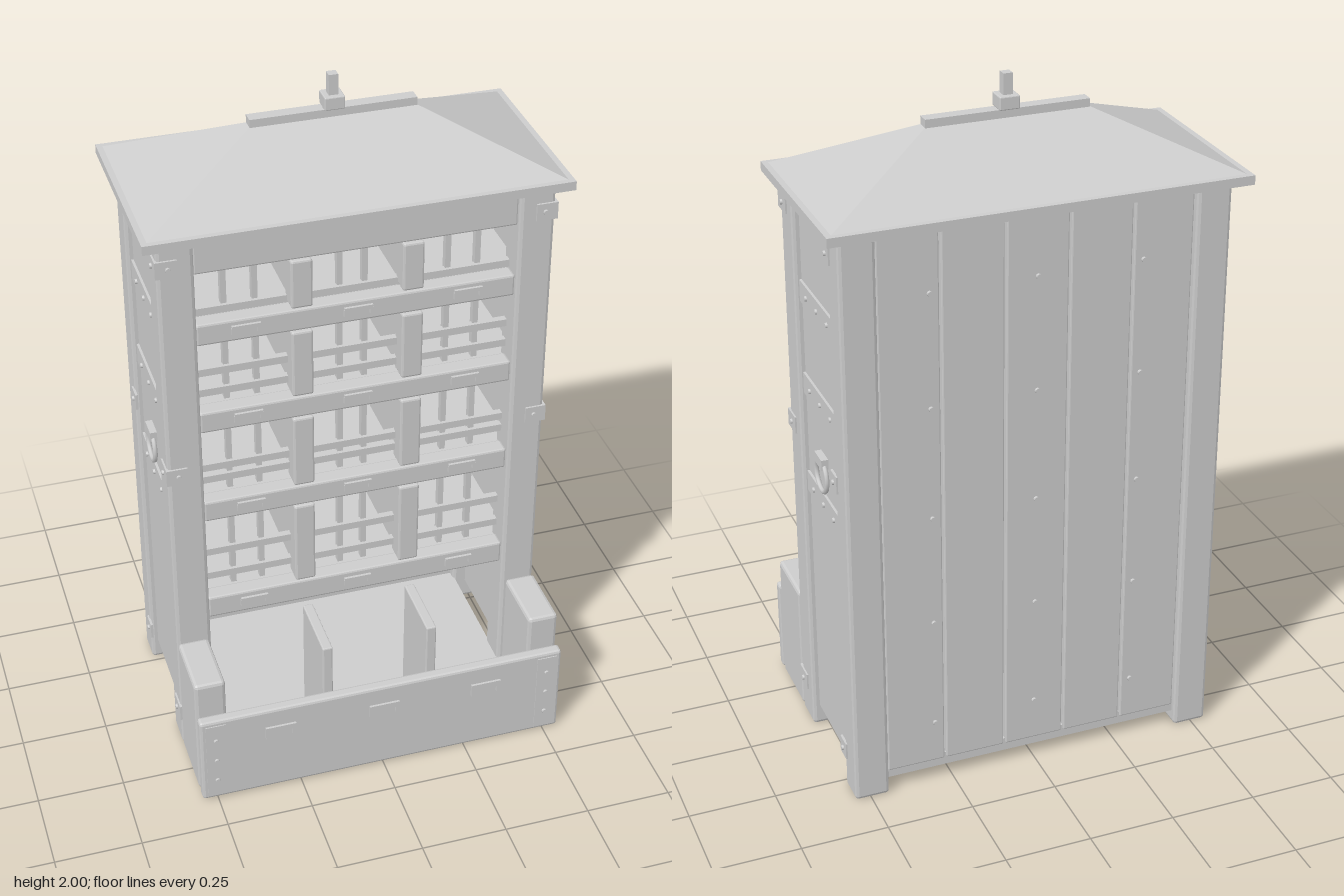
import * as THREE from 'three';
import { RoundedBoxGeometry } from 'three/addons/geometries/RoundedBoxGeometry.js';
import { ConvexGeometry } from 'three/addons/geometries/ConvexGeometry.js';

export function createModel() {
  const model = new THREE.Group();
  model.name = 'storageRack';
  const grey = new THREE.MeshStandardMaterial({ color: 0xcccccc });
  grey.name = 'plain grey';

  const add = (name, geometry, x = 0, y = 0, z = 0) => {
    const mesh = new THREE.Mesh(geometry, grey);
    mesh.name = name;
    mesh.position.set(x, y, z);
    model.add(mesh);
    return mesh;
  };
  // Box given by its extents; a bevel above zero chamfers its edges
  const box = (name, x0, x1, y0, y1, z0, z1, bevel = 0) => {
    const size = [x1 - x0, y1 - y0, z1 - z0];
    let geometry;
    if (bevel) {
      geometry = new RoundedBoxGeometry(...size, 1, bevel);
      geometry.computeVertexNormals();
    } else geometry = new THREE.BoxGeometry(...size);
    return add(name, geometry, (x0 + x1) / 2, (y0 + y1) / 2, (z0 + z1) / 2);
  };
  // Mirrored pair of boxes, given for the +x side
  const pair = (name, x0, x1, ...rest) => {
    box(name + 'Left', x0, x1, ...rest);
    box(name + 'Right', -x1, -x0, ...rest);
  };
  // Bolt head facing along x or z
  const bolt = (x, y, z, axis) => {
    const mesh = add('bolt', new THREE.CylinderGeometry(0.007, 0.008, 0.008, 8), x, y, z);
    if (axis === 'x') mesh.rotation.z = x > 0 ? -Math.PI / 2 : Math.PI / 2;
    else mesh.rotation.x = z > -0.2 ? Math.PI / 2 : -Math.PI / 2;
  };

  // Corner posts and recessed side panels
  pair('frontPost', 0.445, 0.545, 0.005, 1.705, 0.04, 0.14, 0.01);
  pair('backPost', 0.445, 0.545, 0.005, 1.705, -0.355, -0.265, 0.01);
  pair('sidePanel', 0.485, 0.525, 0.07, 1.705, -0.265, 0.04);
  box('ceiling', -0.5, 0.5, 1.69, 1.712, -0.33, 0.1);

  // Back planks with rows of nails
  const edges = [-0.445, -0.27, -0.09, 0.09, 0.27, 0.445];
  for (let i = 0; i < 5; i++) {
    box('backPlank', edges[i] + 0.003, edges[i + 1] - 0.003, 0.07, 1.705, -0.34, -0.305, 0.004);
  }
  box('backLining', -0.445, 0.445, 0.07, 1.70, -0.315, -0.295);
  for (const x of [-0.3, 0, 0.3]) {
    for (let i = 0; i < 5; i++) bolt(x, 0.2 + i * 0.33, -0.343, 'z');
  }

  // Corner brackets on the posts
  for (const y of [1.64, 0.985, 0.13]) {
    pair('sideBracket', 0.543, 0.55, y - 0.025, y + 0.025, 0.08, 0.143);
    pair('rearBracket', 0.543, 0.55, y - 0.025, y + 0.025, -0.29, -0.24);
    pair('frontBracket', 0.49, 0.55, y - 0.025, y + 0.025, 0.138, 0.146);
    for (const s of [-1, 1]) {
      bolt(s * 0.552, y, 0.11, 'x');
      bolt(s * 0.552, y, -0.265, 'x');
      bolt(s * 0.515, y, 0.148, 'z');
    }
  }

  // Side straps and ring handles
  for (const y of [1.41, 1.135, 0.83]) {
    pair('sideStrap', 0.523, 0.532, y - 0.031, y + 0.031, -0.265, 0.04);
    for (const s of [-1, 1]) {
      for (const z of [-0.2, -0.11, -0.02]) bolt(s * 0.534, y, z, 'x');
    }
  }
  pair('ringMount', 0.523, 0.545, 0.955, 0.985, -0.143, -0.08);
  for (const s of [-1, 1]) {
    const ring = add('ringHandle', new THREE.TorusGeometry(0.047, 0.007, 8, 24), s * 0.536, 0.925, -0.1125);
    ring.rotation.y = Math.PI / 2;
  }

  // Lintel, shelves and their front lips
  box('lintel', -0.445, 0.445, 1.6, 1.705, 0.075, 0.125, 0.005);
  const lips = [[0.455, 0.525], [0.8, 0.865], [1.1, 1.165], [1.38, 1.445]];
  for (const [y0, y1] of lips) {
    box('shelfLip', -0.445, 0.445, y0, y1, 0.075, 0.125, 0.006);
    box('shelf', -0.485, 0.485, y0 + 0.02, y1 - 0.015, -0.3, 0.08);
    for (const x of [-0.31, 0, 0.31]) {
      const y = (y0 + y1) / 2;
      box('shelfPull', x - 0.04, x + 0.04, y + 0.005, y + 0.017, 0.124, 0.133);
      for (const s of [-1, 1]) box('pullEnd', x + s * 0.036 - 0.005, x + s * 0.036 + 0.005, y - 0.01, y + 0.01, 0.124, 0.132);
    }
  }

  // Stiles, dividers and thin lattice in each tier
  const tiers = [
    [0.525, 0.8, [0.57, 0.655]], [0.865, 1.1, [0.91, 0.95]],
    [1.165, 1.38, [1.2, 1.265]], [1.445, 1.6, [1.457]],
  ];
  for (const [y0, y1, rails] of tiers) {
    pair('stile', 0.125, 0.185, y0 + 0.004, y1 - 0.006, 0.06, 0.125, 0.006);
    pair('tierDivider', 0.145, 0.165, y0 - 0.02, y1 + 0.03, -0.3, 0.07);
    for (const y of rails) box('latticeRail', -0.445, 0.445, y - 0.011, y + 0.011, 0.06, 0.08);
    for (const x of [0.035, 0.27, 0.355]) pair('latticeBar', x - 0.008, x + 0.008, y0, y1, 0.05, 0.07);
  }

  // Floor and front bin
  box('floor', -0.45, 0.45, 0.045, 0.085, -0.335, 0.345);
  pair('binArm', 0.455, 0.545, 0.01, 0.4, 0.145, 0.345, 0.01);
  pair('binDivider', 0.14, 0.17, 0.08, 0.447, 0.14, 0.345, 0.004);
  box('binFront', -0.545, 0.545, 0.01, 0.3, 0.357, 0.391, 0.008);
  pair('binStrap', 0.47, 0.53, 0.025, 0.285, 0.388, 0.394);
  for (const s of [-1, 1]) for (const y of [0.08, 0.155, 0.23]) bolt(s * 0.5, y, 0.396, 'z');
  for (const x of [-0.31, 0, 0.31]) {
    box('binPull', x - 0.045, x + 0.045, 0.222, 0.24, 0.389, 0.398);
    for (const s of [-1, 1]) box('binPullEnd', x + s * 0.039 - 0.006, x + s * 0.039 + 0.006, 0.2, 0.225, 0.389, 0.397);
  }

  // Hipped roof over a thin eave slab
  const zc = -0.1125;
  box('eave', -0.585, 0.585, 1.71, 1.736, zc - 0.2875, zc + 0.2875);
  const hip = [];
  for (const sx of [-1, 1]) for (const sz of [-1, 1]) {
    hip.push(new THREE.Vector3(sx * 0.573, 1.734, zc + sz * 0.275));
    hip.push(new THREE.Vector3(sx * 0.225, 1.885, zc + sz * 0.012));
  }
  add('roof', new ConvexGeometry(hip));

  // Ridge cap and finial
  box('ridgeCap', -0.23, 0.23, 1.882, 1.905, zc - 0.018, zc + 0.018);
  box('finialBase', -0.028, 0.028, 1.905, 1.942, zc - 0.028, zc + 0.028, 0.003);
  box('finialPeg', -0.013, 0.013, 1.94, 2, zc - 0.013, zc + 0.013);
  return model;
}
